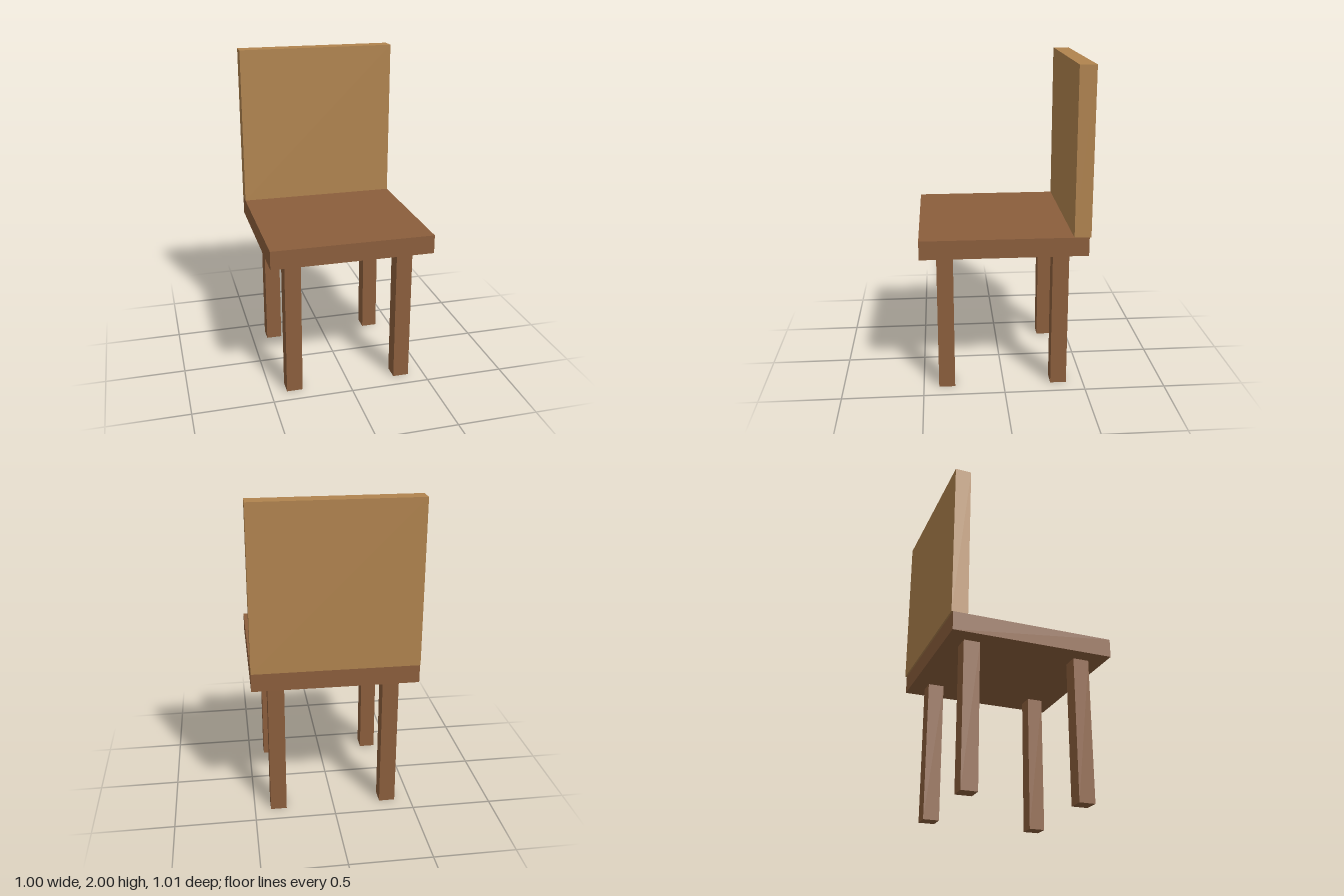
import * as THREE from 'three';

const darkWood = new THREE.MeshStandardMaterial({ color: 0x8b5e3c });
darkWood.name = 'darkWood';
const lightWood = new THREE.MeshStandardMaterial({ color: 0xb0834e });
lightWood.name = 'lightWood';

// Box with its base resting at height y
function block(name, material, [w, h, d], [x, y, z]) {
  const mesh = new THREE.Mesh(new THREE.BoxGeometry(w, h, d), material);
  mesh.name = name;
  mesh.position.set(x, y + h / 2, z);
  return mesh;
}

export function createModel() {
  const chair = new THREE.Group();
  chair.name = 'chair';

  const seatZ = 0.005; // the backrest overhangs the seat slightly at the rear
  const legHeight = 0.885;
  const seatTop = 1;

  // Seat and backrest
  chair.add(block('seat', darkWood, [1, seatTop - legHeight, 1], [0, legHeight, seatZ]));
  chair.add(block('backrest', lightWood, [1, 1, 0.1], [0, seatTop, -0.455]));

  // Four legs, set in from the seat corners
  for (const [side, sx] of [['Left', 1], ['Right', -1]]) {
    for (const [end, sz] of [['front', 1], ['back', -1]]) {
      chair.add(block(`${end}${side}Leg`, darkWood, [0.1, legHeight, 0.1],
        [sx * 0.35, 0, seatZ + sz * 0.35]));
    }
  }
  return chair;
}
